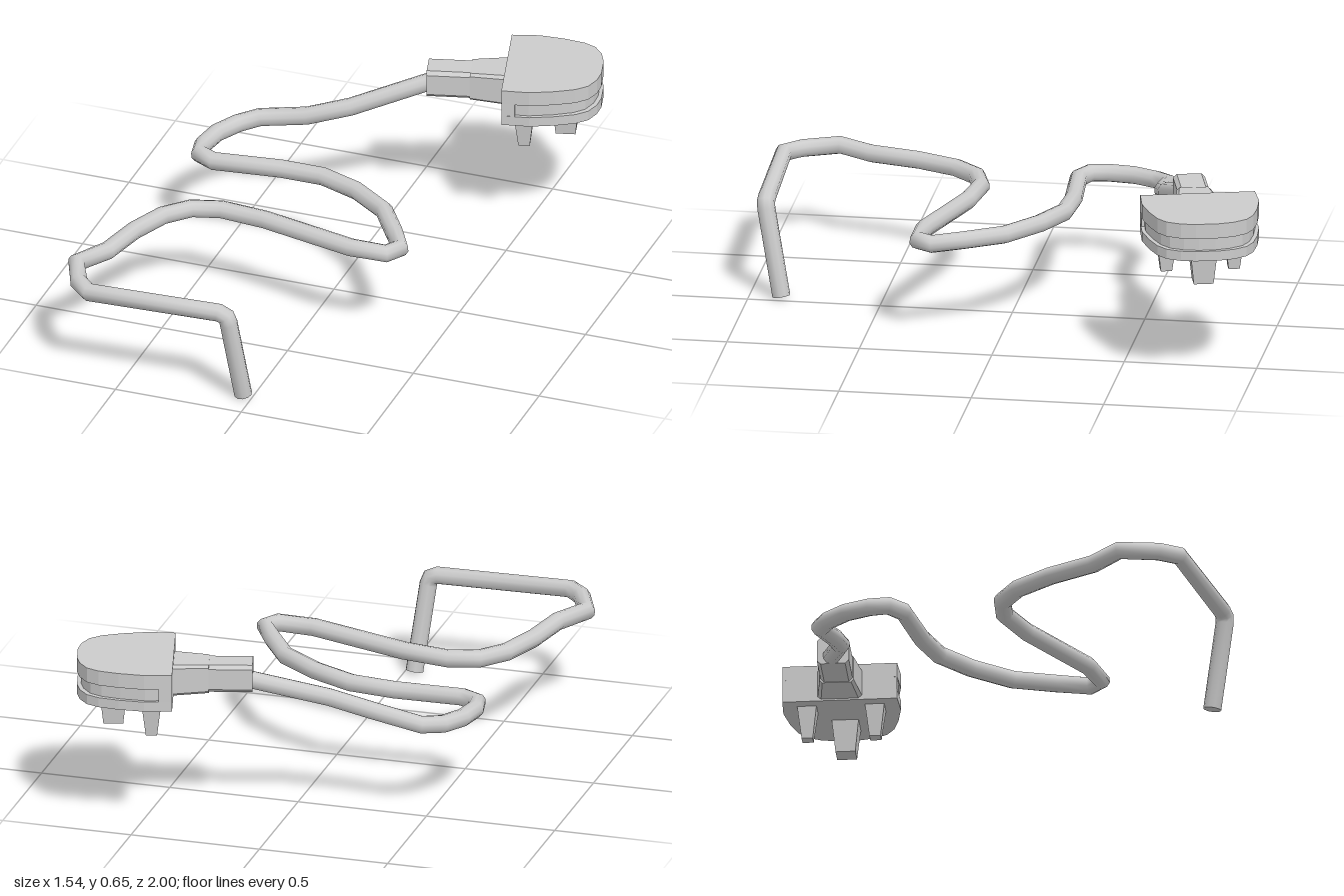
import * as THREE from 'three';

const grey = new THREE.MeshStandardMaterial({ color: 0xcccccc });
const flatGrey = new THREE.MeshStandardMaterial({ color: 0xcccccc, flatShading: true });

function add(parent, name, geometry, material = flatGrey) {
  const mesh = new THREE.Mesh(geometry, material);
  mesh.name = name;
  parent.add(mesh);
  return mesh;
}

// Straight-segment path whose tangents bisect each corner
class Polyline extends THREE.Curve {
  constructor(points) {
    super();
    this.points = points;
  }
  getPointAt(u, target = new THREE.Vector3()) {
    const p = this.points, t = u * (p.length - 1);
    const i = Math.min(Math.floor(t + 1e-6), p.length - 2);
    return target.lerpVectors(p[i], p[i + 1], t - i);
  }
  getTangentAt(u, target = new THREE.Vector3()) {
    const p = this.points, n = p.length - 1, i = Math.round(u * n);
    target.set(0, 0, 0);
    if (i > 0) target.add(p[i].clone().sub(p[i - 1]).normalize());
    if (i < n) target.add(p[i + 1].clone().sub(p[i]).normalize());
    return target.normalize();
  }
}

// Half outline of the plug body, mirrored across its axis
function plugSlab(y0, y1, inset) {
  const half = [[0, 0.215], [0.105, 0.22], [0.2, 0.203], [0.275, 0.18], [0.32, 0.15], [0.348, 0.1], [0.36, 0.045]];
  const side = half.map(([u, v]) => new THREE.Vector2(
    u < 0.06 ? u : u - inset * u / 0.36, v - inset));
  const mirrored = side.map((p) => new THREE.Vector2(p.x, -p.y)).reverse();
  const shape = new THREE.Shape([...side, ...mirrored].reverse());
  const g = new THREE.ExtrudeGeometry(shape, { depth: y1 - y0, bevelEnabled: false });
  return g.rotateX(-Math.PI / 2).translate(0, y0, 0);
}

// Chamfered block running along x, scaled from one end to the other
function sleeve(x0, x1, width, height, chamfer, endW, endH) {
  const w = width / 2, h = height / 2, c = chamfer;
  const shape = new THREE.Shape([
    [w, -h + c], [w, h - c], [w - c, h], [-w + c, h],
    [-w, h - c], [-w, -h + c], [-w + c, -h], [w - c, -h],
  ].map(([a, b]) => new THREE.Vector2(a, b)));
  const g = new THREE.ExtrudeGeometry(shape, { depth: x1 - x0, bevelEnabled: false });
  const pos = g.attributes.position;
  for (let i = 0; i < pos.count; i++) {
    if (pos.getZ(i) > 1e-4) pos.setXY(i, pos.getX(i) * endW / width, pos.getY(i) * endH / height);
  }
  g.computeVertexNormals();
  return g.rotateY(Math.PI / 2).translate(x0, 0.568, 0);
}

export function createModel() {
  const model = new THREE.Group();
  model.name = 'powerCable';

  // Cable, from the hanging end to the plug
  const path = [
    [-0.037, 0.006, 0.878], [-0.072, 0.335, 0.94], [-0.08, 0.36, 0.943], [-0.11, 0.372, 0.942],
    [-0.62, 0.37, 0.96], [-0.682, 0.37, 0.9], [-0.742, 0.37, 0.765], [-0.667, 0.368, 0.635],
    [-0.628, 0.365, 0.45], [-0.57, 0.362, 0.3], [-0.49, 0.36, 0.21], [-0.38, 0.36, 0.178],
    [-0.2, 0.363, 0.2], [0.18, 0.373, 0.305], [0.32, 0.375, 0.307], [0.355, 0.375, 0.25],
    [0.29, 0.374, 0.14], [0.2, 0.373, 0], [0.05, 0.372, -0.11], [-0.11, 0.367, -0.178],
    [-0.28, 0.362, -0.187], [-0.54, 0.355, -0.166], [-0.608, 0.355, -0.2], [-0.62, 0.355, -0.27],
    [-0.602, 0.357, -0.37], [-0.552, 0.36, -0.46], [-0.485, 0.37, -0.515], [-0.3, 0.408, -0.523],
    [-0.14, 0.458, -0.56], [0.13, 0.55, -0.694], [0.17, 0.56, -0.705],
  ].map((p) => new THREE.Vector3(...p));
  const radius = 0.034;
  add(model, 'cable', new THREE.TubeGeometry(new Polyline(path), path.length - 1, radius, 10), grey);

  // Flat cap on the cut end
  const cap = add(model, 'cableEnd', new THREE.CircleGeometry(radius, 10));
  cap.position.copy(path[0]);
  cap.quaternion.setFromUnitVectors(new THREE.Vector3(0, 0, 1), path[0].clone().sub(path[1]).normalize());

  // Plug, with its own x axis pointing away from the cable
  const plug = new THREE.Group();
  plug.name = 'plug';
  plug.position.set(0.405, 0, -0.762);
  plug.rotation.y = THREE.MathUtils.degToRad(15);
  model.add(plug);

  // Body: two slabs with a grip groove between, closed by a full-height back plate
  add(plug, 'plugBase', plugSlab(0.5, 0.538, 0));
  add(plug, 'gripGroove', plugSlab(0.538, 0.588, 0.014));
  add(plug, 'plugTop', plugSlab(0.588, 0.645, 0));
  add(plug, 'backPlate', new THREE.BoxGeometry(0.05, 0.144, 0.43).translate(0.0255, 0.5725, 0));

  // Cable sleeve
  add(plug, 'cableSleeve', sleeve(-0.295, -0.12, 0.12, 0.108, 0.014, 0.12, 0.108));
  add(plug, 'sleeveCollar', sleeve(-0.132, 0.01, 0.128, 0.112, 0.01, 0.168, 0.124));

  // Tapered pins
  const pins = [['leftPin', 0.079, 0.127, 0.074, 0.042], ['rightPin', 0.079, -0.127, 0.074, 0.042],
    ['earthPin', 0.225, 0.005, 0.102, 0.074]];
  for (const [name, u, v, top, bottom] of pins) {
    const g = new THREE.CylinderGeometry(top / Math.SQRT2, bottom / Math.SQRT2, 0.13, 4);
    add(plug, name, g.rotateY(Math.PI / 4)).position.set(u, 0.441, v);
  }
  return model;
}
